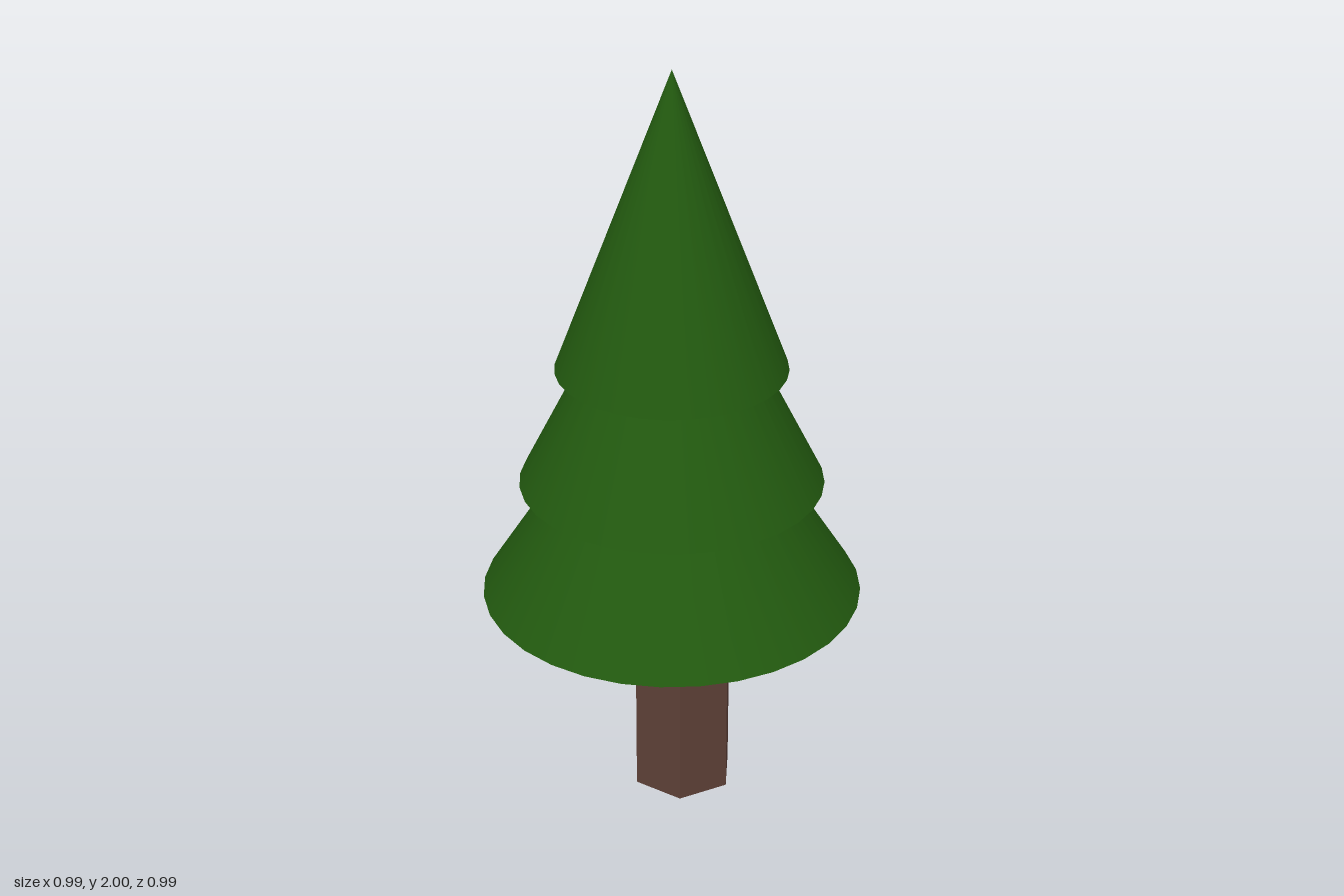
import * as THREE from 'three';

export function createModel() {
  const tree = new THREE.Group();
  tree.name = 'pineTree';

  const bark = new THREE.MeshStandardMaterial({ color: 0x5d4037, flatShading: true });
  const needles = new THREE.MeshStandardMaterial({ color: 0x22590f });

  // Six-sided trunk, slightly off the tree's axis
  const trunkHeight = 0.62;
  const trunk = new THREE.Mesh(new THREE.CylinderGeometry(0.14, 0.14, trunkHeight, 6), bark);
  trunk.name = 'trunk';
  trunk.position.set(0.03, trunkHeight / 2, 0);
  tree.add(trunk);

  // Three overlapping closed cones of equal height, narrowing upward
  const tierHeight = 0.775;
  const tiers = [
    ['lowerFoliage', 0.495, 0.595],
    ['middleFoliage', 0.392, 0.91],
    ['upperFoliage', 0.295, 1.225],
  ];
  for (const [name, radius, base] of tiers) {
    const tier = new THREE.Mesh(new THREE.ConeGeometry(radius, tierHeight, 32), needles);
    tier.name = name;
    tier.position.y = base + tierHeight / 2;
    tree.add(tier);
  }

  return tree;
}
